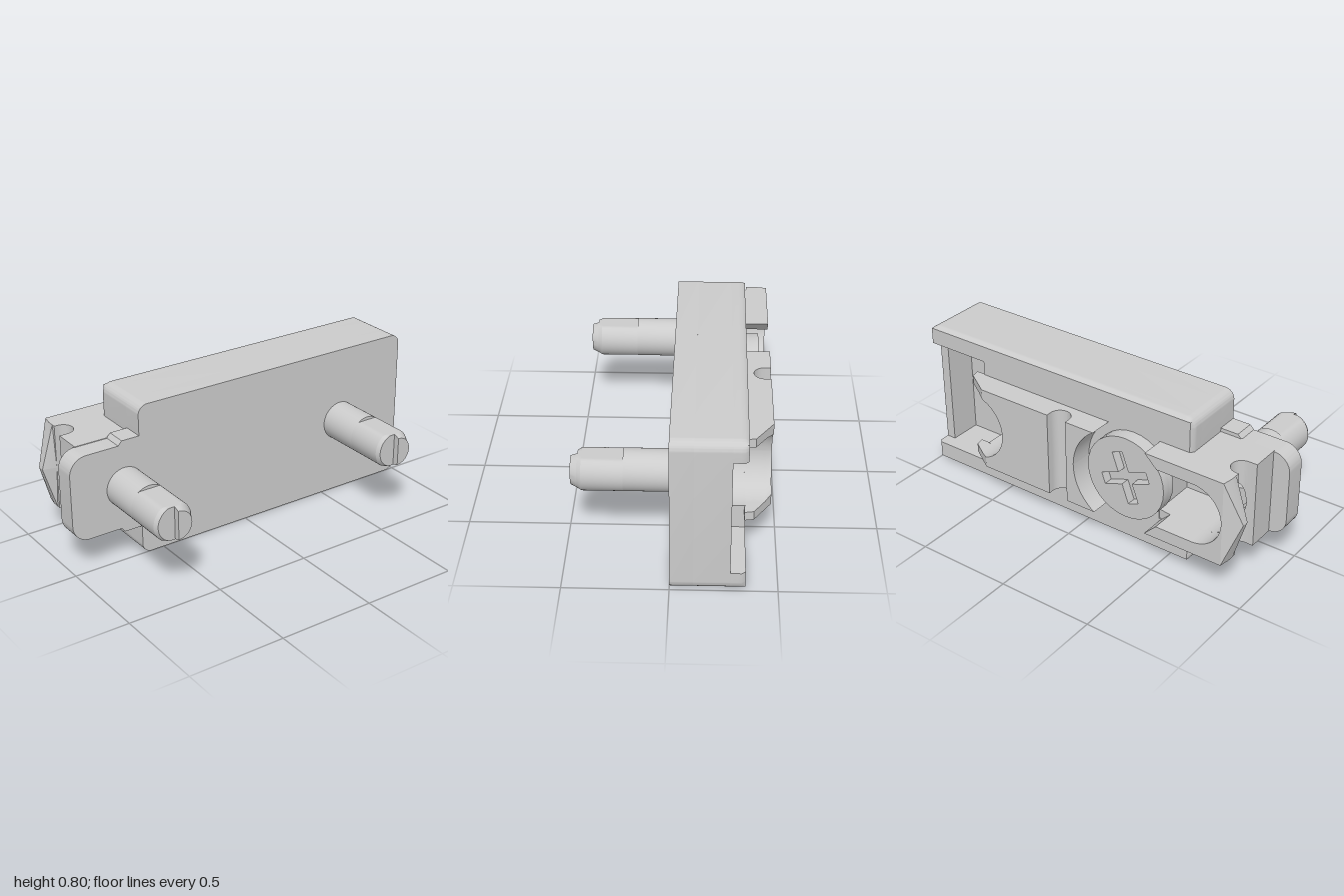
import * as THREE from 'three';
import { toCreasedNormals } from 'three/addons/utils/BufferGeometryUtils.js';

const MID = 0.4;                 // height of the long axis
const HALF = 0.226;              // half height of the raised rail
const REAR = -0.61, FRONT = 0.705; // z of the two pins
const material = new THREE.MeshStandardMaterial({ color: 0xcccccc });

function add(parent, name, geo, crease = 0.5) {
  const mesh = new THREE.Mesh(toCreasedNormals(geo, crease), material);
  mesh.name = name;
  parent.add(mesh);
  return mesh;
}

// Shape from [z, y, cornerRadius] points
function outline(pts, ShapeType = THREE.Shape) {
  const s = new ShapeType();
  const n = pts.length;
  pts.forEach(([x, y, r = 0], i) => {
    const p = new THREE.Vector2(x, y);
    const toward = (q) => new THREE.Vector2(q[0], q[1]).sub(p).setLength(r).add(p);
    const a = r ? toward(pts[(i + n - 1) % n]) : p;
    if (i) s.lineTo(a.x, a.y); else s.moveTo(a.x, a.y);
    if (r) {
      const b = toward(pts[(i + 1) % n]);
      const c = p.clone().lerp(a, 0.45), d = p.clone().lerp(b, 0.45);
      s.bezierCurveTo(c.x, c.y, d.x, d.y, b.x, b.y);
    }
  });
  s.closePath();
  return s;
}

// Slab drawn in (z, y) that fills x0 to x1
function slab(shape, x0, x1, steps = 1) {
  return new THREE.ExtrudeGeometry(shape, { depth: x1 - x0, steps, bevelEnabled: false, curveSegments: 16 })
    .rotateY(-Math.PI / 2).translate(x1, 0, 0);
}

// Solid through sections [{x, pts: [z, dy]}]; side = -1 mirrors it below the axis
function loft(sections, side) {
  const pos = [];
  const tri = (...v) => (side > 0 ? v : v.reverse()).forEach(([x, z, y]) => pos.push(x, MID + side * y, z));
  const at = (s, i) => [s.x, ...s.pts[i % s.pts.length]];
  for (let k = 0; k < sections.length - 1; k++) {
    const s = sections[k], t = sections[k + 1];
    for (let i = 0; i < s.pts.length; i++) {
      tri(at(s, i), at(t, i), at(s, i + 1));
      tri(at(s, i + 1), at(t, i), at(t, i + 1));
    }
  }
  const cap = (s, flip) => {
    const faces = THREE.ShapeUtils.triangulateShape(s.pts.map((p) => new THREE.Vector2(...p)), []);
    faces.forEach(([a, b, c]) => (flip ? tri(at(s, c), at(s, b), at(s, a)) : tri(at(s, a), at(s, b), at(s, c))));
  };
  cap(sections[0], false);
  cap(sections[sections.length - 1], true);
  return new THREE.BufferGeometry().setAttribute('position', new THREE.Float32BufferAttribute(pos, 3));
}

// Points on a circle in (z, dy)
function arc(cz, r, a0, a1, n = 16) {
  return Array.from({ length: n + 1 }, (_, i) => {
    const a = a0 + (a1 - a0) * i / n;
    return [cz + r * Math.cos(a), r * Math.sin(a)];
  });
}

function addBody(group) {
  const base = [[-1, 0, 0.05], [0.62, 0, 0.05]];
  const shelf = [[0.62, 0.155], [0.715, 0.155], [0.735, 0.177], [1, 0.177, 0.09]];
  const flip = (pts) => pts.map(([z, y, r]) => [z, 0.8 - y, r]).reverse();
  add(group, 'basePlate', slab(outline([...base, ...shelf, ...flip(shelf), ...flip(base)]), -0.11, 0));

  // Housing walls with a keyhole pocket at the rear and a seat for the front block
  const seat = [[0.62, 0.19], [0.44, 0.19], [0.44, 0.61], [0.62, 0.61]];
  const key = [[-0.64, 0.1], ...arc(REAR, 0.18, -1.73, 1.73, 28).map(([z, y]) => [z, y + MID]), [-0.64, 0.7]];
  const walls = outline([...base, ...seat, ...flip(base)]);
  walls.holes.push(outline([[-0.95, 0.1], ...key, [-0.95, 0.7]], THREE.Path));
  add(group, 'housingWalls', slab(walls, -0.28, -0.11));

  // Open-ended rim with softened outer edges
  const rim = slab(outline([...base, ...seat, ...flip(base), [-1, 0.7], ...[...key].reverse(), [-1, 0.1]]), -0.35, -0.28, 4);
  const p = rim.attributes.position;
  for (let i = 0; i < p.count; i++) {
    if (p.getX(i) > -0.349) continue;
    p.setY(i, THREE.MathUtils.clamp(p.getY(i), 0.015, 0.785));
    p.setZ(i, THREE.MathUtils.clamp(p.getZ(i), -0.985, 0.605));
  }
  add(group, 'housingRim', rim, 0.8);
}

function addRail(group) {
  // Half width of the round-bottomed cross groove at each x
  const grooveR = 0.055, gx = -0.445;
  const stations = [[-0.475, grooveR]];
  for (let i = 0; i <= 10; i++) {
    const a = i / 10 * Math.PI / 2;
    stations.push([gx + grooveR * Math.sin(a), grooveR * Math.cos(a)]);
  }
  stations.push([-0.345, 0]);
  const gz = -0.08, r = 0.18;
  const forked = stations.map(([x, h]) => {
    const tip = Math.max(-0.69, -0.55 - (x + 0.475) * 1.55);
    const a = tip > REAR ? Math.acos((tip - REAR) / r) : Math.PI / 2;
    return { x, pts: [[gz - h, 0], [gz - h, HALF], [tip, HALF], [tip, r * Math.sin(a)], ...arc(REAR, r, a, 0)] };
  });
  const cup = Math.asin(HALF / 0.27);
  const cupped = stations.map(([x, h]) => ({
    x, pts: [[gz + h, 0], ...arc(0.29, 0.27, Math.PI, Math.PI - cup), [gz + h, HALF]],
  }));
  for (const side of [1, -1]) {
    add(group, 'forkedRail', loft(forked, side));
    add(group, 'cuppedRail', loft(cupped, side));
  }
}

function addFrontBlock(group) {
  // [x, front z at the edge, front z on the axis]
  const stations = [[-0.475, 0.87, 0.87], [-0.42, 0.88, 0.95], [-0.385, 0.88, 0.95], [-0.365, 0.88, 0.88]];
  for (let i = 0; i <= 14; i++) {
    const a = Math.PI * (1 - i / 14);
    const z = 0.865 - 0.055 * Math.sin(a);
    stations.push([-0.31 + 0.055 * Math.cos(a), z, z]);
  }
  stations.push([-0.255, 0.91, 0.91], [-0.105, 0.91, 0.91]);
  const r = 0.16;
  const sections = stations.map(([x, edge, axis]) => {
    const a = Math.acos(Math.min(1, (axis - FRONT) / r)); // bore breaks into the groove
    const inner = x < -0.35 ? 0.507 : 0.44;
    return { x, pts: [[inner, r], ...arc(FRONT, r, Math.PI / 2, a), [axis, r * Math.sin(a)], [edge, HALF], [0.44, HALF]] };
  });
  for (const side of [1, -1]) add(group, 'frontBlock', loft(sections, side));
}

// Round screw head facing -x with a cross recess
function addScrew(group, name, z, r, x0, x1, turn) {
  const screw = new THREE.Group();
  screw.name = name;
  const L = r * 0.62, w = r * 0.14;
  const cross = [];
  for (let q = 0; q < 4; q++) {
    const c = Math.cos(q * Math.PI / 2 + turn), s = Math.sin(q * Math.PI / 2 + turn);
    for (const [u, v] of [[L, -w], [L, w], [w, w]]) cross.push([u * c - v * s, u * s + v * c]);
  }
  const face = new THREE.Shape().absarc(0, 0, r, 0, Math.PI * 2);
  face.holes.push(outline(cross, THREE.Path));
  const floor = x0 + (x1 - x0) * 0.6;
  add(screw, 'crossFace', slab(face, x0, floor));
  add(screw, 'headBase', slab(new THREE.Shape().absarc(0, 0, r, 0, Math.PI * 2), floor, x1));
  screw.position.set(0, MID, z);
  group.add(screw);
}

// Round pin with two flats and a half-length tip
function addPin(group, name, z) {
  const pin = new THREE.Group();
  pin.name = name;
  const piece = (part, x0, x1, r0, r1, flat, maxZ) => {
    const geo = new THREE.CylinderGeometry(r1, r0, x1 - x0, 48).rotateZ(-Math.PI / 2).translate((x0 + x1) / 2, 0, 0);
    const p = geo.attributes.position;
    for (let i = 0; i < p.count; i++) {
      p.setY(i, THREE.MathUtils.clamp(p.getY(i), -flat, flat));
      p.setZ(i, Math.min(p.getZ(i), maxZ));
    }
    add(pin, part, geo);
  };
  piece('shank', -0.02, 0.225, 0.102, 0.102, 1, 1);
  piece('flattedShank', 0.225, 0.42, 0.102, 0.102, 0.085, 1);
  piece('chamfer', 0.42, 0.44, 0.102, 0.09, 0.085, 1);
  piece('halfTip', 0.44, 0.472, 0.09, 0.074, 0.085, 0);
  pin.position.set(0, MID, z);
  group.add(pin);
}

export function createModel() {
  const model = new THREE.Group();
  model.name = 'terminalBlock';
  addBody(model);
  addRail(model);
  addFrontBlock(model);
  addScrew(model, 'clampScrew', 0.29, 0.222, -0.42, -0.34, 0.35);
  addScrew(model, 'rearPinHead', REAR, 0.13, -0.16, -0.1, 0.2);
  addScrew(model, 'frontPinHead', FRONT, 0.13, -0.16, -0.1, 0.2);
  addPin(model, 'rearPin', REAR);
  addPin(model, 'frontPin', FRONT);
  return model;
}
